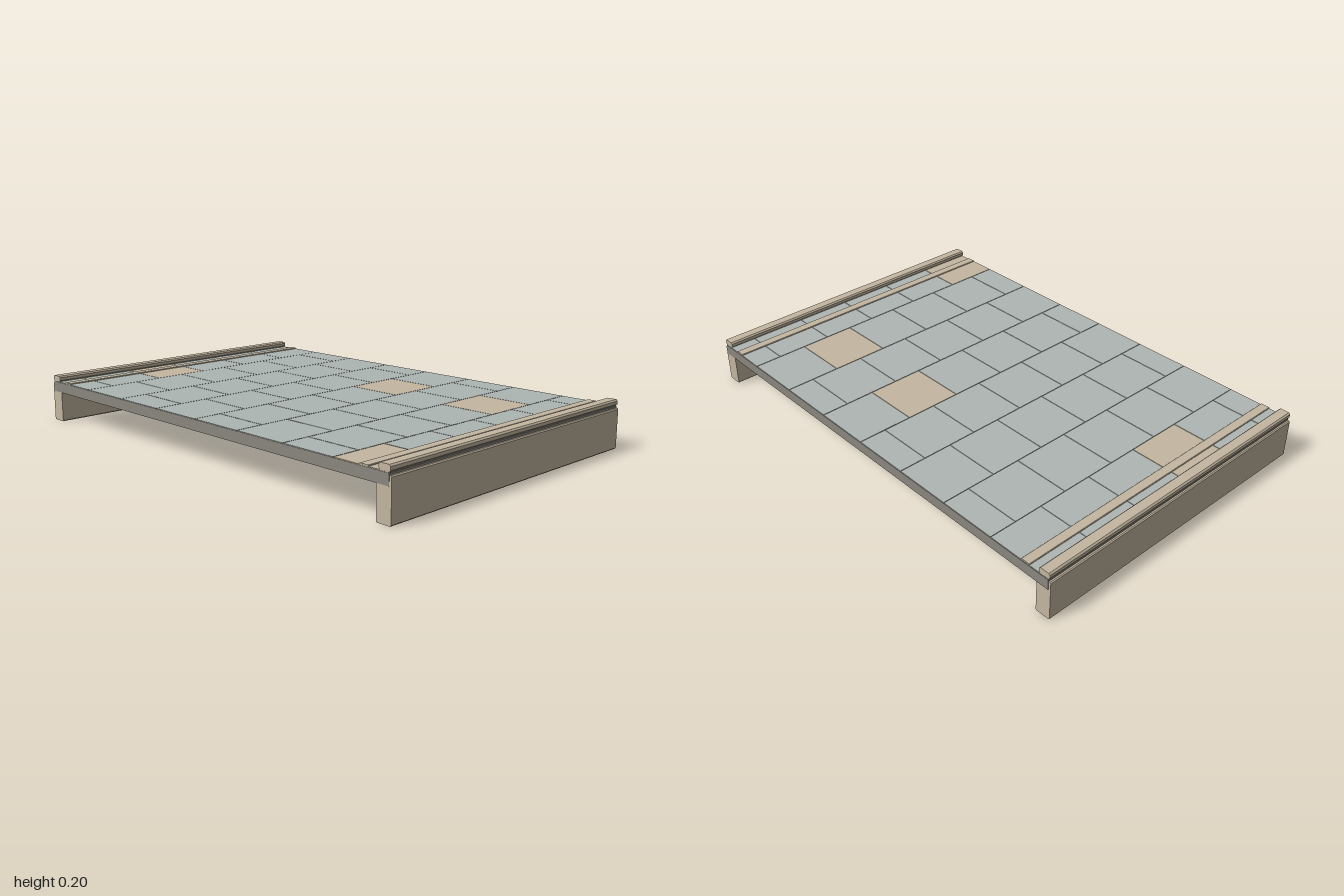
import * as THREE from 'three';

const WIDTH = 1.33;

export function createModel() {
  const stone = new THREE.MeshStandardMaterial({ color: 0xc4b7a1 });
  stone.name = 'tan stone';
  const paving = new THREE.MeshStandardMaterial({ color: 0xaeb6b3 });
  paving.name = 'blue grey paving';
  const slab = new THREE.MeshStandardMaterial({ color: 0x8b877f });
  slab.name = 'grey slab';

  const model = new THREE.Group();
  model.name = 'pavedDeck';

  function box(name, material, parent, x0, x1, y0, y1, z0, z1) {
    const mesh = new THREE.Mesh(new THREE.BoxGeometry(x1 - x0, y1 - y0, z1 - z0), material);
    mesh.position.set((x0 + x1) / 2, (y0 + y1) / 2, (z0 + z1) / 2);
    mesh.name = name;
    parent.add(mesh);
  }

  // Bar along x with a chamfered cross-section
  function bar(name, parent, y0, y1, z0, z1, c) {
    const shape = new THREE.Shape([
      [-z0 - c, y0], [-z0, y0 + c], [-z0, y1 - c], [-z0 - c, y1],
      [-z1 + c, y1], [-z1, y1 - c], [-z1, y0 + c], [-z1 + c, y0],
    ].map(([x, y]) => new THREE.Vector2(x, y)));
    const geometry = new THREE.ExtrudeGeometry(shape, { depth: WIDTH, bevelEnabled: false });
    geometry.translate(0, 0, -WIDTH / 2).rotateY(Math.PI / 2);
    const mesh = new THREE.Mesh(geometry, stone);
    mesh.name = name;
    parent.add(mesh);
  }

  // Deck slab
  box('deckSlab', slab, model, -0.667, 0.667, 0.13, 0.173, -0.99, 0.99);

  // Running-bond paving, with a few tan tiles
  const tiles = new THREE.Group();
  tiles.name = 'pavingTiles';
  model.add(tiles);
  const pitch = 0.2435, gap = 0.0015;
  const tanTiles = ['0:0', '1:3', '3:3', '7:1'];
  for (let row = 0; row < 9; row++) {
    const zFront = 0.989 - row * pitch;
    const zBack = Math.max(zFront - pitch, -0.989);
    const start = -0.667 - (row % 2 ? pitch / 2 : 0);
    for (let col = row % 2 ? -1 : 0; col < 6; col++) {
      const left = start + (row % 2 ? col + 1 : col) * pitch;
      const x0 = Math.max(left, -0.667), x1 = Math.min(left + pitch, 0.667);
      if (x1 - x0 < 0.01) continue;
      const tan = tanTiles.includes(`${row}:${col}`);
      box(tan ? 'tanTile' : 'tile', tan ? stone : paving, tiles,
        x0 + gap, x1 - gap, 0.172, 0.1755, zBack + gap, zFront - gap);
    }
  }

  // Support beam, curb and raised strip at each end
  for (const side of [1, -1]) {
    const end = new THREE.Group();
    end.name = side > 0 ? 'frontEnd' : 'backEnd';
    bar('supportBeam', end, 0, 0.165, 0.936, 1, 0.004);
    bar('curb', end, 0.175, 0.2, 0.945, 0.995, 0.006);
    bar('raisedStrip', end, 0.174, 0.18, 0.862, 0.902, 0.002);
    if (side < 0) end.rotation.y = Math.PI;
    model.add(end);
  }
  return model;
}
